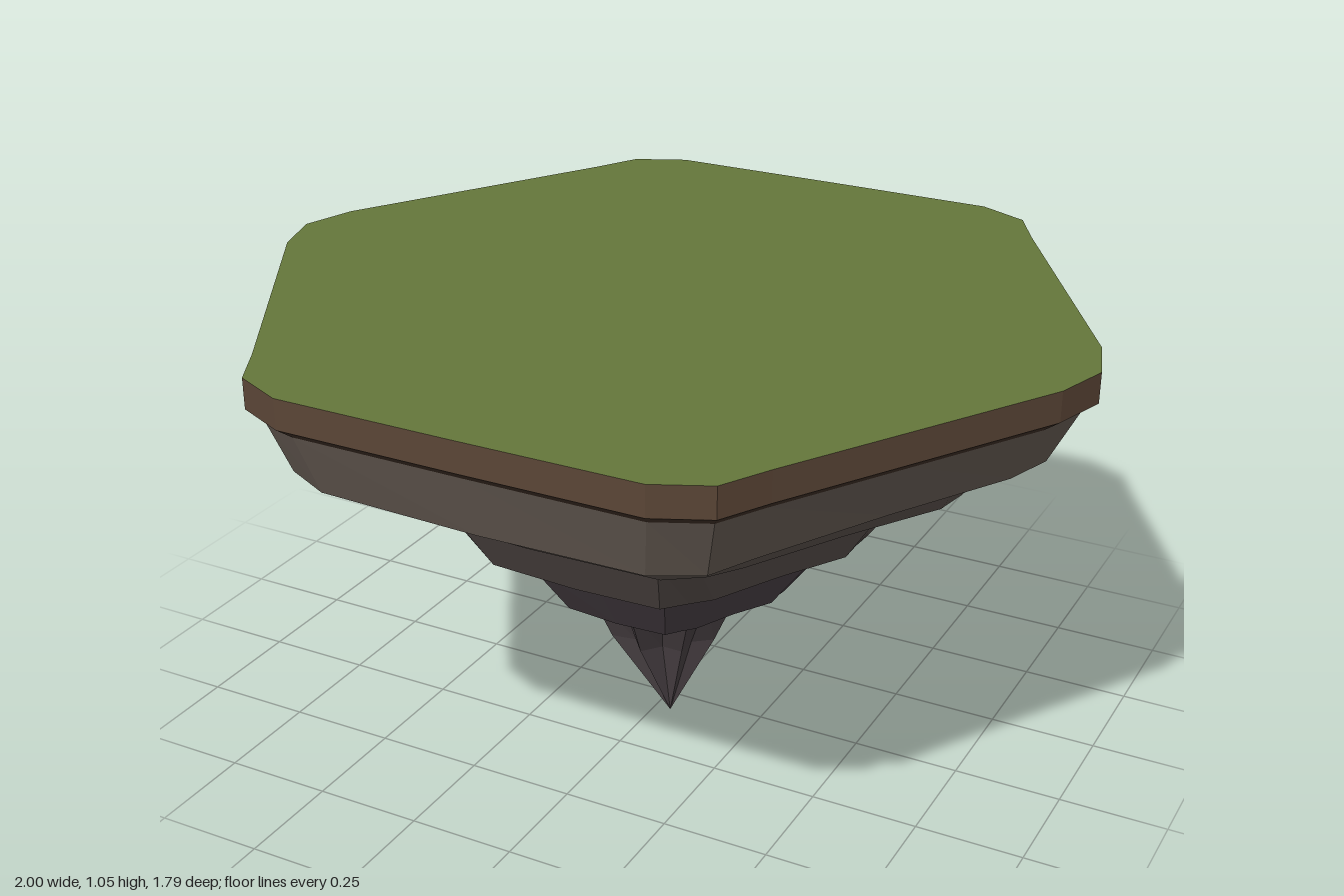
import * as THREE from 'three';

// Quarter of the rounded hexagon outline as [x, z]; corners sit at x = 1 and near 60 degrees
const QUARTER = [[1, 0], [0.96, 0.13], [0.78, 0.43], [0.6, 0.73], [0.54, 0.84], [0.42, 0.895], [0, 0.897]];
const CORNERS = [0, 4];

// Hexagonal ring at height y; wave roughens the level, groove pulls the corners inwards
function hexRing(y, sx, sz = sx, wave = 0, groove = 0, cx = 0, cz = 0) {
  const quarter = QUARTER.map(([x, z], i) => {
    const k = CORNERS.includes(i) ? 1 - groove : 1;
    return [x * k, z * k];
  });
  const half = [...quarter, ...quarter.slice(0, -1).reverse().map(([x, z]) => [-x, z])];
  const full = [...half, ...half.slice(1, -1).reverse().map(([x, z]) => [x, -z])];
  return full.map(([x, z]) => {
    const a = Math.atan2(z, x);
    const dy = wave * (Math.sin(3 * a + 0.4) * 0.6 + Math.cos(2 * a) * 0.5);
    return new THREE.Vector3(x * sx + cx, y + dy, z * sz + cz);
  });
}

// Star-shaped ring with alternating ridges and grooves
function starRing(y, r, depth, cx = 0, cz = 0) {
  return Array.from({ length: 16 }, (_, i) => {
    const a = (i / 16) * Math.PI * 2;
    const k = i % 2 ? r * depth : r * (1 + 0.05 * Math.sin(i * 2.3));
    return new THREE.Vector3(cx + k * Math.cos(a), y, cz + k * Math.sin(a));
  });
}

// Skin a stack of rings from top to bottom, leaving out empty triangles
function loft(rings) {
  const pos = [];
  const tri = (a, b, c) => {
    if (a.distanceTo(b) < 1e-6 || b.distanceTo(c) < 1e-6 || c.distanceTo(a) < 1e-6) return;
    for (const p of [a, b, c]) pos.push(p.x, p.y, p.z);
  };
  for (let r = 0; r < rings.length - 1; r++) {
    const a = rings[r], b = rings[r + 1], n = a.length;
    for (let i = 0; i < n; i++) {
      const j = (i + 1) % n;
      tri(a[i], a[j], b[i]);
      tri(a[j], b[j], b[i]);
    }
  }
  const geo = new THREE.BufferGeometry();
  geo.setAttribute('position', new THREE.Float32BufferAttribute(pos, 3));
  geo.computeVertexNormals();
  return geo;
}

export function createModel() {
  const island = new THREE.Group();
  island.name = 'floatingIsland';
  const add = (name, rings, color) => {
    const material = new THREE.MeshStandardMaterial({ color, flatShading: true, roughness: 1 });
    const mesh = new THREE.Mesh(loft(rings), material);
    mesh.name = name;
    island.add(mesh);
  };

  // Grass top and the soil rim beneath it
  add('grassTop', [hexRing(1.05, 0), hexRing(1.05, 1)], 0x64763a);
  add('soilRim', [hexRing(1.05, 1), hexRing(0.98, 1)], 0x5a4536);
  add('soilLip', [hexRing(0.98, 1), hexRing(0.955, 0.965)], 0x3c2d24);

  // Rock tiers: each has a sloping wall and an undercut ledge
  // [wall bottom y, x scale, z scale, ledge y, x scale, z scale, groove, colour]
  const tiers = [
    [0.82, 0.9, 0.915, 0.798, 0.795, 0.79, 0, 0x625850],
    [0.7, 0.735, 0.7, 0.68, 0.61, 0.605, 0.02, 0x554c47],
    [0.515, 0.5, 0.495, 0.49, 0.42, 0.4, 0.045, 0x544b48],
    [0.335, 0.3, 0.29, 0.315, 0.19, 0.205, 0.05, 0x473e43],
  ];
  let top = hexRing(0.955, 0.965);
  tiers.forEach(([wy, wx, wz, ly, lx, lz, groove, color], i) => {
    const wall = hexRing(wy, wx, wz, 0.01, groove);
    const ledge = hexRing(ly, lx, lz, 0.01, groove);
    add('rockWall' + (i + 1), [top, wall], color);
    add('rockLedge' + (i + 1), [wall, ledge], 0x2e2a2c);
    top = ledge;
  });
  add('rockUnderside', [top, hexRing(0.315, 0)], 0x2e2a2c);

  // Ridged hanging spike with an off-centre tip
  add('spike', [
    starRing(0.33, 0.19, 0.78, 0, 0.01),
    starRing(0.185, 0.13, 0.72, -0.005, 0.005),
    starRing(0, 0, 1, 0.04, 0.07),
  ], 0x453d40);

  return island;
}
